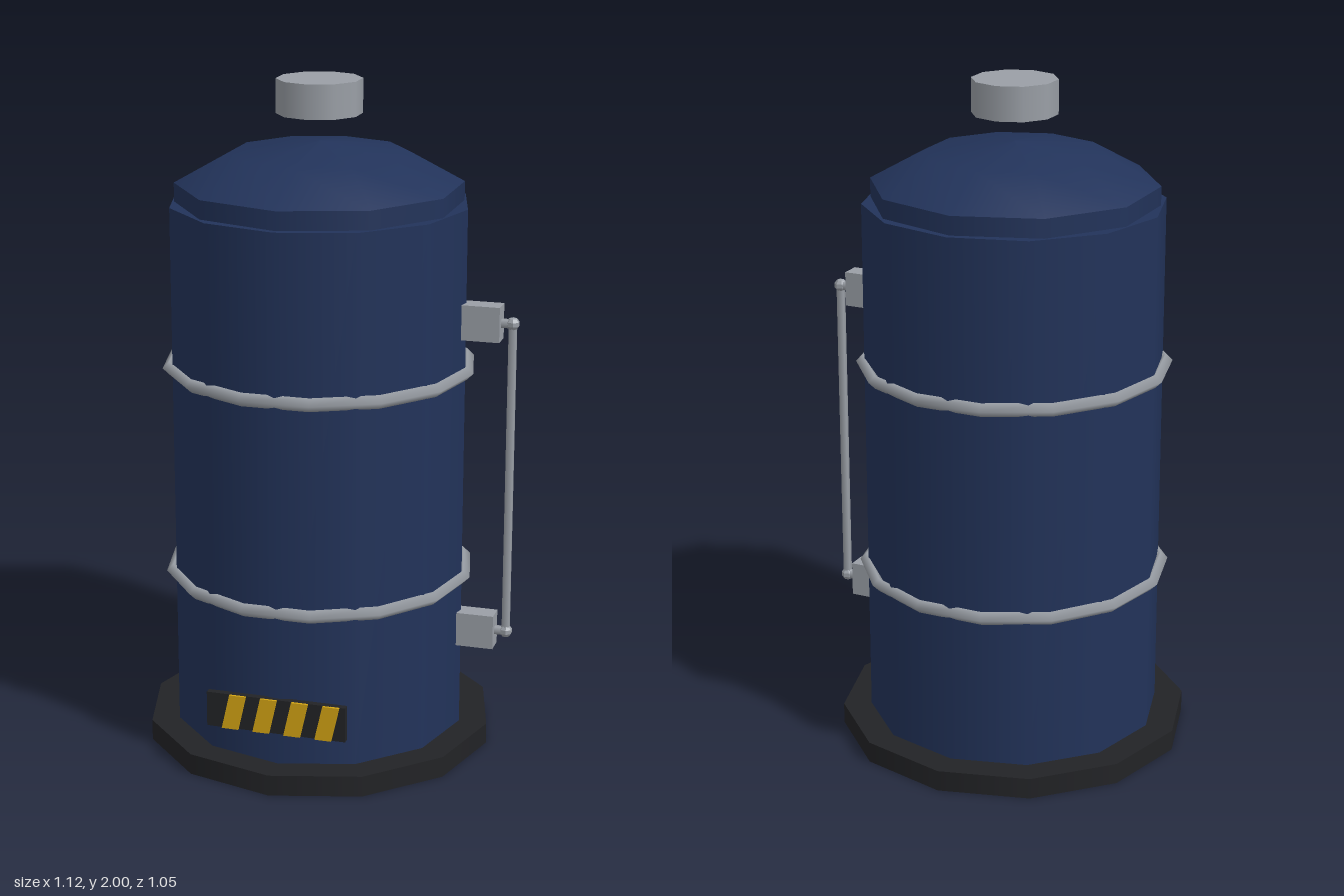
import * as THREE from 'three';

const paint = (color, extra = {}) => new THREE.MeshStandardMaterial({ color, ...extra });

export function createModel() {
  const model = new THREE.Group();
  const navy = paint(0x22335a);
  const black = paint(0x222326);
  const steel = paint(0x9a9fa6);
  const steelFlat = paint(0x9a9fa6, { flatShading: true });
  const yellow = paint(0xd4a514);

  const add = (parent, name, geometry, material, x = 0, y = 0, z = 0) => {
    const mesh = new THREE.Mesh(geometry, material);
    mesh.name = name;
    mesh.position.set(x, y, z);
    parent.add(mesh);
    return mesh;
  };
  // Upright cylinder given by its bottom and top heights
  const drum = (name, r, y0, y1, sides, material) =>
    add(tank, name, new THREE.CylinderGeometry(r, r, y1 - y0, sides), material, 0, (y0 + y1) / 2);

  // Tank parts share one axis, set off to make room for the handle
  const tank = new THREE.Group();
  tank.name = 'tank';
  tank.position.x = -0.038;
  model.add(tank);

  drum('base', 0.525, 0, 0.063, 12, black);
  drum('body', 0.44, 0.063, 1.645, 12, navy);
  drum('lidRim', 0.42, 1.64, 1.7, 10, navy);
  const domeProfile = [[0.42, 1.7], [0.26, 1.788], [0, 1.82]].map(p => new THREE.Vector2(...p));
  add(tank, 'lidDome', new THREE.LatheGeometry(domeProfile, 10), navy);
  drum('topCap', 0.125, 1.9, 2, 10, steel);

  // Reinforcing hoops
  for (const y of [0.531, 1.162]) {
    const hoop = new THREE.TorusGeometry(0.445, 0.02, 4, 14).rotateX(Math.PI / 2);
    add(tank, 'hoop', hoop, steel, 0, y);
  }

  // Side handle: two brackets, stubs and corner joints with a rod between
  const handle = new THREE.Group();
  handle.name = 'handle';
  model.add(handle);
  const [low, high] = [0.373, 1.32];
  for (const y of [low, high]) {
    add(handle, 'bracket', new THREE.BoxGeometry(0.112, 0.104, 0.06), steel, 0.451, y);
    const stub = new THREE.CylinderGeometry(0.014, 0.014, 0.05, 6).rotateZ(Math.PI / 2);
    add(handle, 'stub', stub, steel, 0.52, y);
    add(handle, 'joint', new THREE.SphereGeometry(0.02, 7, 5), steelFlat, 0.54, y);
  }
  add(handle, 'rod', new THREE.CylinderGeometry(0.013, 0.013, high - low, 6), steel,
    0.54, (low + high) / 2);

  // Warning plate with slanted stripes
  const plate = new THREE.Group();
  plate.name = 'warningPlate';
  plate.position.set(-0.038, 0.215, 0.44);
  model.add(plate);
  add(plate, 'plate', new THREE.BoxGeometry(0.42, 0.106, 0.02), black);
  const stripe = new THREE.Shape([[-0.037, -0.053], [0.013, -0.053], [0.037, 0.053], [-0.013, 0.053]]
    .map(p => new THREE.Vector2(...p)));
  const stripeGeometry = new THREE.ExtrudeGeometry(stripe, { depth: 0.008, bevelEnabled: false });
  for (let i = 0; i < 4; i++) {
    add(plate, 'stripe', stripeGeometry, yellow, (i - 1.5) * 0.094 + 0.015, 0, 0.009);
  }

  return model;
}
